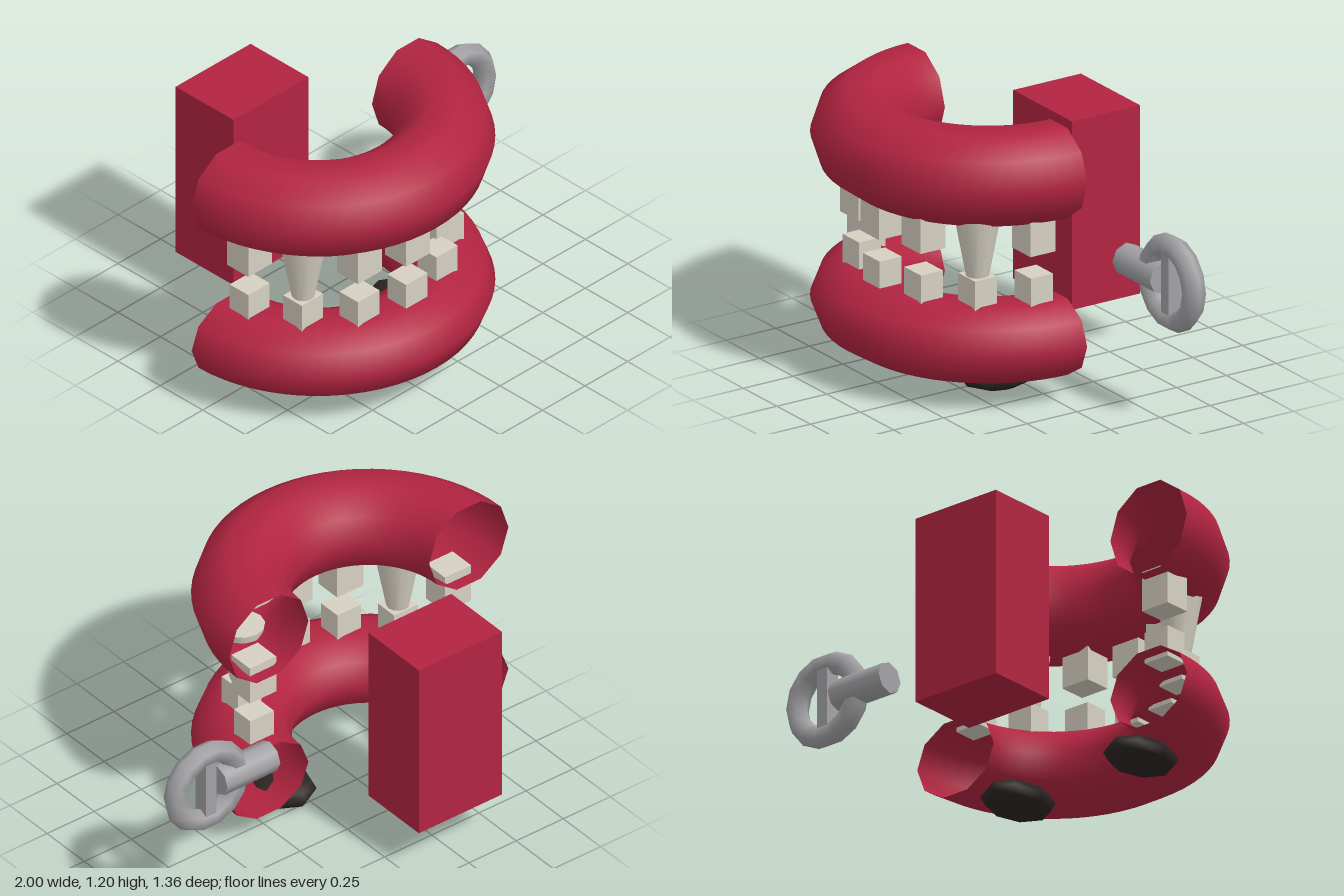
import * as THREE from 'three';

const mat = (name, color, side = THREE.FrontSide) => {
  const m = new THREE.MeshStandardMaterial({ color, side });
  m.name = name;
  return m;
};

export function createModel() {
  const gumRed = mat('gum red', 0xb22440, THREE.DoubleSide);
  const ivory = mat('tooth ivory', 0xd6d0c2);
  const metal = mat('key grey', 0xa2a2a5);
  const black = mat('foot black', 0x2a2422);

  const model = new THREE.Group();
  model.name = 'windUpTeeth';
  const add = (parent, name, geo, material, x, y, z) => {
    const mesh = new THREE.Mesh(geo, material);
    mesh.name = name;
    mesh.position.set(x, y, z);
    parent.add(mesh);
    return mesh;
  };

  // Jaw arch: a half ring, open at both ends
  const CX = -0.26, CZ = -0.065, R = 0.53;
  const arch = (squash) =>
    new THREE.TorusGeometry(R, 0.21, 10, 32, Math.PI).rotateX(Math.PI / 2).scale(1, squash, 1);
  add(model, 'upperGum', arch(1), gumRed, CX, 1.0, CZ);
  add(model, 'lowerGum', arch(0.85), gumRed, CX, 0.27, CZ);

  // Seven teeth per jaw, spread evenly along the arch
  const upperTooth = new THREE.BoxGeometry(0.14, 0.18, 0.125);
  const lowerTooth = new THREE.BoxGeometry(0.125, 0.14, 0.11);
  const fang = new THREE.CylinderGeometry(0.1, 0.048, 0.28, 12);
  const teeth = new THREE.Group();
  teeth.name = 'teeth';
  model.add(teeth);
  for (let i = 0; i < 7; i++) {
    const a = (Math.PI * (i + 0.5)) / 7;
    const x = CX + R * Math.cos(a);
    const z = CZ + R * Math.sin(a);
    if (i === 1 || i === 5) add(teeth, 'fang', fang, ivory, x, 0.695, z);
    else add(teeth, 'upperTooth', upperTooth, ivory, x, 0.75, z);
    add(teeth, 'lowerTooth', lowerTooth, ivory, x, 0.49, z);
  }

  // Block behind the jaws
  add(model, 'backBlock', new THREE.BoxGeometry(0.44, 0.84, 0.34), gumRed, CX, 0.63, -0.51);

  // Flattened feet
  const foot = new THREE.SphereGeometry(1, 8, 6).scale(0.138, 0.068, 0.18);
  for (const s of [-1, 1]) add(model, 'foot', foot, black, CX + s * 0.337, 0.07, 0.11);

  // Wind-up key: shaft, ring and crossbar
  const key = new THREE.Group();
  key.name = 'windUpKey';
  key.position.set(0.78, 0.605, -0.288);
  model.add(key);
  add(key, 'keyShaft', new THREE.CylinderGeometry(0.07, 0.07, 0.28, 8).rotateZ(Math.PI / 2), metal, -0.2, 0, 0);
  add(key, 'keyRing', new THREE.TorusGeometry(0.165, 0.05, 6, 14), metal, 0, 0, 0);
  add(key, 'keyBar', new THREE.BoxGeometry(0.055, 0.28, 0.07), metal, 0, 0, 0);

  return model;
}
